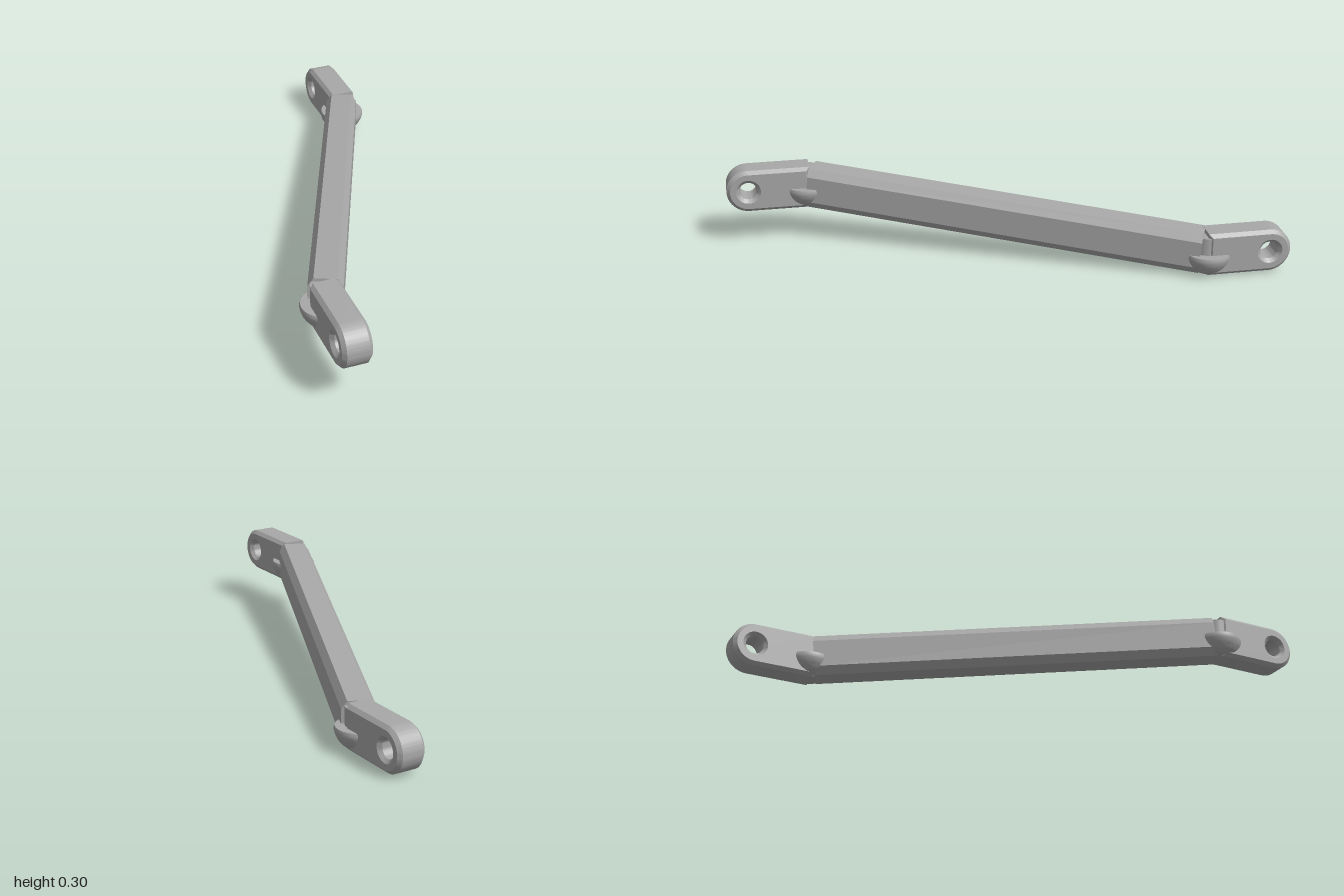
import * as THREE from 'three';
import { toCreasedNormals } from 'three/addons/utils/BufferGeometryUtils.js';

export function createModel() {
  const model = new THREE.Group();
  model.name = 'jointedLink';
  const grey = new THREE.MeshStandardMaterial({ color: 0xa8a8a8 });
  grey.name = 'plain grey';

  const add = (parent, name, geometry) => {
    const mesh = new THREE.Mesh(geometry, grey);
    mesh.name = name;
    parent.add(mesh);
    return mesh;
  };

  // Eye lug: rounded tab with a cross hole, chamfered all round, pointing along +z
  const lugGeometry = () => {
    const r = 0.081, eye = 0.22, back = -0.01, bevel = 0.013, width = 0.105;
    const shape = new THREE.Shape();
    shape.moveTo(back, -r);
    shape.lineTo(eye, -r);
    shape.absarc(eye, 0, r, -Math.PI / 2, Math.PI / 2, false);
    shape.lineTo(back, r);
    shape.closePath();
    const hole = new THREE.Path();
    hole.absarc(eye, 0, 0.033, 0, Math.PI * 2, true);
    shape.holes.push(hole);
    const g = new THREE.ExtrudeGeometry(shape, {
      depth: width - 2 * bevel, bevelThickness: bevel, bevelSize: bevel,
      bevelOffset: -bevel, bevelSegments: 1, curveSegments: 24,
    });
    g.translate(0, 0, bevel - width / 2);
    g.rotateY(-Math.PI / 2);
    return toCreasedNormals(g, 0.5);
  };

  // Cup: lower half ball with a slightly eased flat rim
  const cupGeometry = () => {
    const r = 0.087, profile = [];
    for (let i = 0; i <= 12; i++) {
      const a = (i / 12) * 1.45;
      profile.push(new THREE.Vector2(r * Math.sin(a), -r * Math.cos(a)));
    }
    profile.push(new THREE.Vector2(0.083, 0), new THREE.Vector2(0, 0));
    return toCreasedNormals(new THREE.LatheGeometry(profile, 40), 0.6);
  };

  // One joint at each end, the rear one turned round
  const ends = [
    { name: 'front', at: new THREE.Vector3(-0.3, 0.216, 0.699), turn: 0 },
    { name: 'rear', at: new THREE.Vector3(0.298, 0.088, -0.699), turn: Math.PI },
  ];
  for (const { name, at, turn } of ends) {
    const joint = new THREE.Group();
    joint.name = name + 'Joint';
    joint.position.copy(at);
    joint.rotation.y = turn;
    add(joint, name + 'Lug', lugGeometry());
    add(joint, name + 'Cup', cupGeometry());
    const pin = add(joint, name + 'Pin', new THREE.CylinderGeometry(0.048, 0.048, 0.13, 24));
    pin.position.set(0, 0, -0.005);
    model.add(joint);
  }

  // Beam: chamfered bar running diagonally between the joints
  const [a, b] = ends.map((e) => e.at);
  const length = a.distanceTo(b) - 0.04;
  const w = 0.06, h = 0.078, cx = 0.02, cy = 0.028;
  const section = new THREE.Shape([
    [w, cy - h], [w, h - cy], [w - cx, h], [cx - w, h],
    [-w, h - cy], [-w, cy - h], [cx - w, -h], [w - cx, -h],
  ].map(([x, y]) => new THREE.Vector2(x, y)));
  const bar = new THREE.ExtrudeGeometry(section, { depth: length, bevelEnabled: false });
  bar.translate(0, 0, -length / 2);
  const beam = add(model, 'beam', bar);
  beam.position.addVectors(a, b).multiplyScalar(0.5);
  beam.lookAt(a);

  return model;
}
